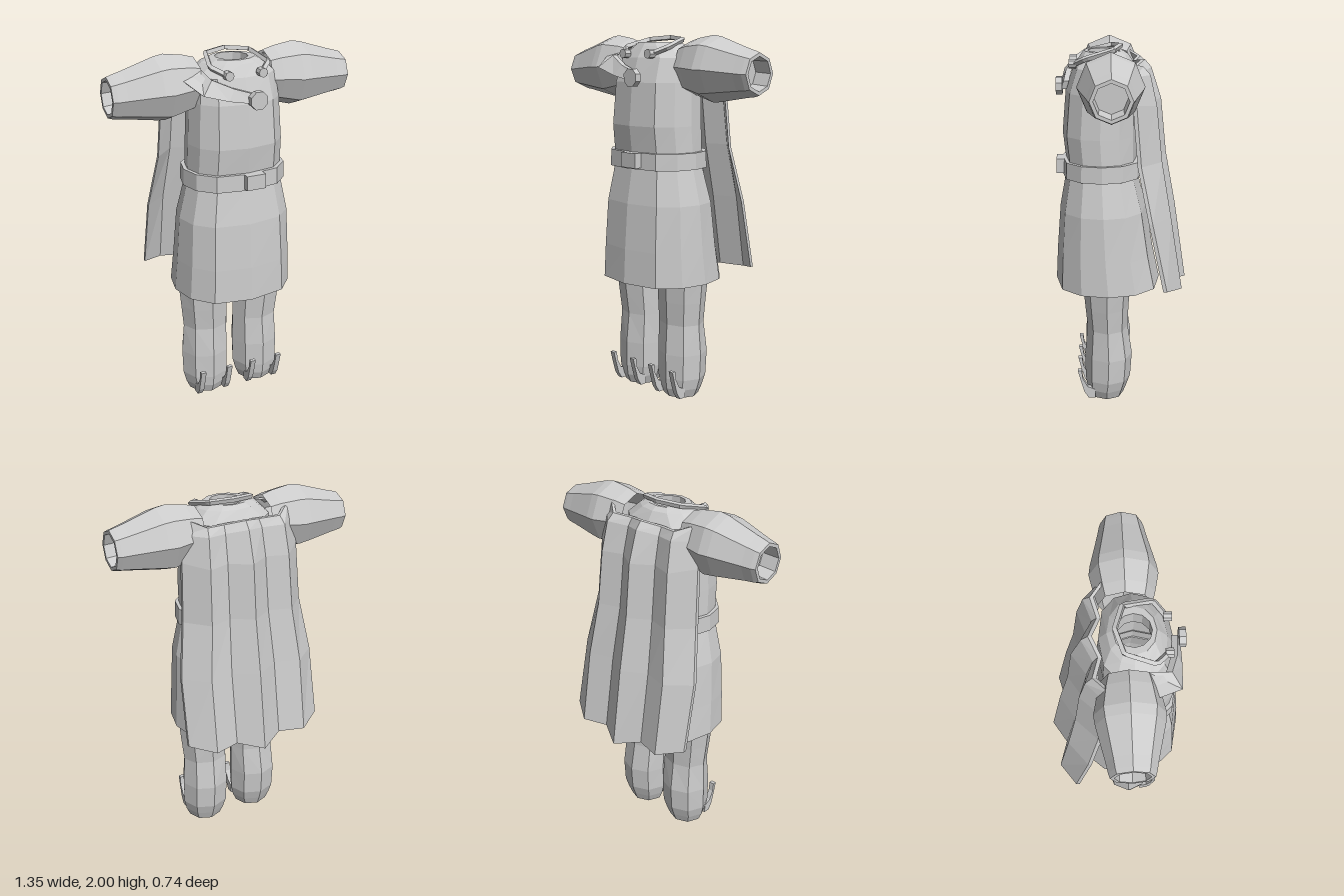
import * as THREE from 'three';

const grey = new THREE.MeshStandardMaterial({ color: 0xcccccc, flatShading: true, side: THREE.DoubleSide });
grey.name = 'plain grey';

// Skin a list of rings (each an equal, even number of [x, y, z] points)
function loft(rings, capStart = false, capEnd = false) {
  const n = rings[0].length, index = [];
  for (let i = 0; i < rings.length - 1; i++) {
    for (let j = 0; j < n; j++) {
      const k = (j + 1) % n, a = i * n, b = a + n;
      index.push(a + j, a + k, b + k, a + j, b + k, b + j);
    }
  }
  const cap = (o, flip) => {
    for (let j = 0; j < n / 2 - 1; j++) {
      const q = [o + j, o + j + 1, o + n - 2 - j, o + n - 1 - j];
      if (flip) q.reverse();
      index.push(q[0], q[1], q[2], q[0], q[2], q[3]);
    }
  };
  if (capStart) cap(0, true);
  if (capEnd) cap((rings.length - 1) * n, false);
  const g = new THREE.BufferGeometry();
  g.setAttribute('position', new THREE.Float32BufferAttribute(rings.flat(2), 3));
  g.setIndex(index);
  const flat = g.toNonIndexed();
  flat.computeVertexNormals();
  return flat;
}

// Horizontal ring; power below 1 squares off the sides
function ring(y, cx, cz, rx, rz, sides, power = 1) {
  return Array.from({ length: sides }, (_, j) => {
    const a = (j / sides) * Math.PI * 2, s = Math.sin(a);
    return [cx + rx * Math.sign(s) * Math.abs(s) ** power, y, cz + rz * Math.cos(a)];
  });
}

export function createModel() {
  const model = new THREE.Group();
  const add = (name, geometry, mirrored = false) => {
    const mesh = new THREE.Mesh(geometry, grey);
    mesh.name = name;
    if (mirrored) mesh.scale.x = -1;
    model.add(mesh);
    return mesh;
  };

  // Tunic with flared skirt and open neck: y, half width, front z, back z
  const tunic = [
    [0.66, 0.335, 0.37, -0.22], [0.85, 0.325, 0.36, -0.18], [1.1, 0.312, 0.34, -0.14],
    [1.29, 0.27, 0.305, -0.09], [1.38, 0.265, 0.305, -0.09], [1.52, 0.262, 0.32, -0.09],
    [1.75, 0.25, 0.3, -0.09], [1.88, 0.235, 0.255, -0.08], [1.94, 0.17, 0.215, -0.04],
    [1.96, 0.125, 0.2, -0.01], [1.96, 0.088, 0.178, 0.005], [1.87, 0.088, 0.178, 0.005],
  ];
  add('tunic', loft(tunic.map(([y, w, f, b], i) =>
    ring(y, 0, (f + b) / 2, w, (f - b) / 2, 12, i < 8 ? 0.7 : 1))));

  // Belt and buckle
  const belt = [[1.29, 0.262], [1.29, 0.288], [1.38, 0.285], [1.38, 0.26]];
  add('belt', loft(belt.map(([y, w]) => ring(y, 0, 0.105, w, w - 0.065, 12, 0.7))));
  add('buckle', new THREE.BoxGeometry(0.11, 0.08, 0.06).translate(0.025, 1.34, 0.325));

  // Sleeves with hollow cuffs: x, centre y, radius
  const sleeve = [
    [0.2, 1.83, 0.135], [0.26, 1.83, 0.152], [0.37, 1.823, 0.175], [0.42, 1.822, 0.168],
    [0.6, 1.808, 0.125], [0.65, 1.804, 0.115], [0.675, 1.804, 0.107],
    [0.675, 1.804, 0.088], [0.58, 1.81, 0.085],
  ];
  const sleeveGeometry = loft(sleeve.map(([x, cy, r]) =>
    Array.from({ length: 8 }, (_, j) => {
      const a = (j / 8) * Math.PI * 2;
      return [x, cy + r * Math.cos(a), 0.058 + r * Math.sin(a)];
    })), false, true);

  // Legs with rounded boots: y, centre x, half width, front z, back z
  const leg = [
    [0, 0.16, 0.1, 0.18, -0.01], [0.05, 0.16, 0.122, 0.2, -0.03], [0.11, 0.16, 0.137, 0.207, -0.05],
    [0.25, 0.16, 0.14, 0.208, -0.06], [0.42, 0.155, 0.135, 0.193, -0.035],
    [0.55, 0.162, 0.142, 0.205, -0.04], [0.67, 0.168, 0.148, 0.215, -0.05], [0.95, 0.155, 0.14, 0.21, -0.05],
  ];
  const legGeometry = loft(leg.map(([y, x, w, f, b]) =>
    ring(y, x, (f + b) / 2, w, (f - b) / 2, 8)), true);

  // Upturned toe claw, a side outline given thickness across x
  const outline = [[0.15, 0.01], [0.19, 0.01], [0.215, 0.05], [0.235, 0.12], [0.25, 0.18],
    [0.228, 0.18], [0.222, 0.13], [0.195, 0.08], [0.15, 0.06]];
  const clawGeometry = new THREE.ExtrudeGeometry(
    new THREE.Shape(outline.map(([z, y]) => new THREE.Vector2(-z, y))),
    { depth: 0.03, bevelEnabled: false }).rotateY(Math.PI / 2);

  // Small cylindrical clasp at each end of the neck cord
  const claspGeometry = new THREE.CylinderGeometry(0.025, 0.025, 0.04, 8)
    .rotateX(Math.PI / 2).translate(0.095, 1.9, 0.258);

  for (const mirrored of [false, true]) {
    const side = mirrored ? 'right' : 'left';
    add(side + 'Sleeve', sleeveGeometry, mirrored);
    add(side + 'Leg', legGeometry, mirrored);
    add(side + 'Clasp', claspGeometry, mirrored);
    for (const x of [0.06, 0.225]) {
      const claw = add(side + 'ToeClaw', clawGeometry, mirrored);
      claw.position.x = mirrored ? -x : x;
    }
  }

  // Cord round the neck
  const half = [[0.1, 1.9, 0.25], [0.165, 1.935, 0.19], [0.125, 1.975, 0.04]];
  const cordPoints = [...half, [0, 1.985, 0], ...half.map(([x, y, z]) => [-x, y, z]).reverse()];
  const cord = new THREE.CatmullRomCurve3(
    cordPoints.map((p) => new THREE.Vector3(...p)), false, 'catmullrom', 0);
  add('neckCord', new THREE.TubeGeometry(cord, 36, 0.015, 4));

  // Sash across the chest: upper and lower edge at each section
  const sash = [
    [[-0.2, 1.92, 0.15], [-0.335, 1.9, 0.16]],
    [[-0.19, 1.89, 0.265], [-0.255, 1.825, 0.315]],
    [[-0.08, 1.84, 0.3], [-0.12, 1.785, 0.325]],
    [[0.04, 1.8, 0.31], [0.03, 1.755, 0.325]],
  ];
  add('sash', loft(sash.map(([t, b]) =>
    [t, b, [b[0], b[1], b[2] - 0.03], [t[0], t[1], t[2] - 0.03]]), true, true));
  add('brooch', new THREE.CylinderGeometry(0.05, 0.05, 0.035, 8)
    .rotateX(Math.PI / 2).rotateZ(Math.PI / 8).translate(0.038, 1.777, 0.333));

  // Pleated cape: half width, then y and z from the outer edge to the centre
  const cape = [
    [0.405, [0.72, 0.69, 0.69, 0.66], [-0.24, -0.33, -0.29, -0.37]],
    [0.4, [1.1, 1.1, 1.1, 1.1], [-0.16, -0.265, -0.225, -0.305]],
    [0.355, [1.4, 1.4, 1.4, 1.4], [-0.1, -0.215, -0.175, -0.25]],
    [0.34, [1.72, 1.7, 1.7, 1.7], [-0.075, -0.185, -0.145, -0.22]],
    [0.325, [1.86, 1.86, 1.85, 1.87], [-0.05, -0.15, -0.11, -0.165]],
    [0.31, [1.94, 1.9, 1.89, 1.91], [-0.03, -0.115, -0.085, -0.13]],
  ];
  const columns = [1, 0.68, 0.33, 0, -0.33, -0.68, -1];
  add('cape', loft(cape.map(([w, ys, zs]) => {
    const row = columns.map((c, j) => [c * w, ys[3 - Math.abs(3 - j)], zs[3 - Math.abs(3 - j)]]);
    return [...row, ...row.map(([x, y, z]) => [x, y, z + 0.02]).reverse()];
  }), true, true));

  return model;
}
